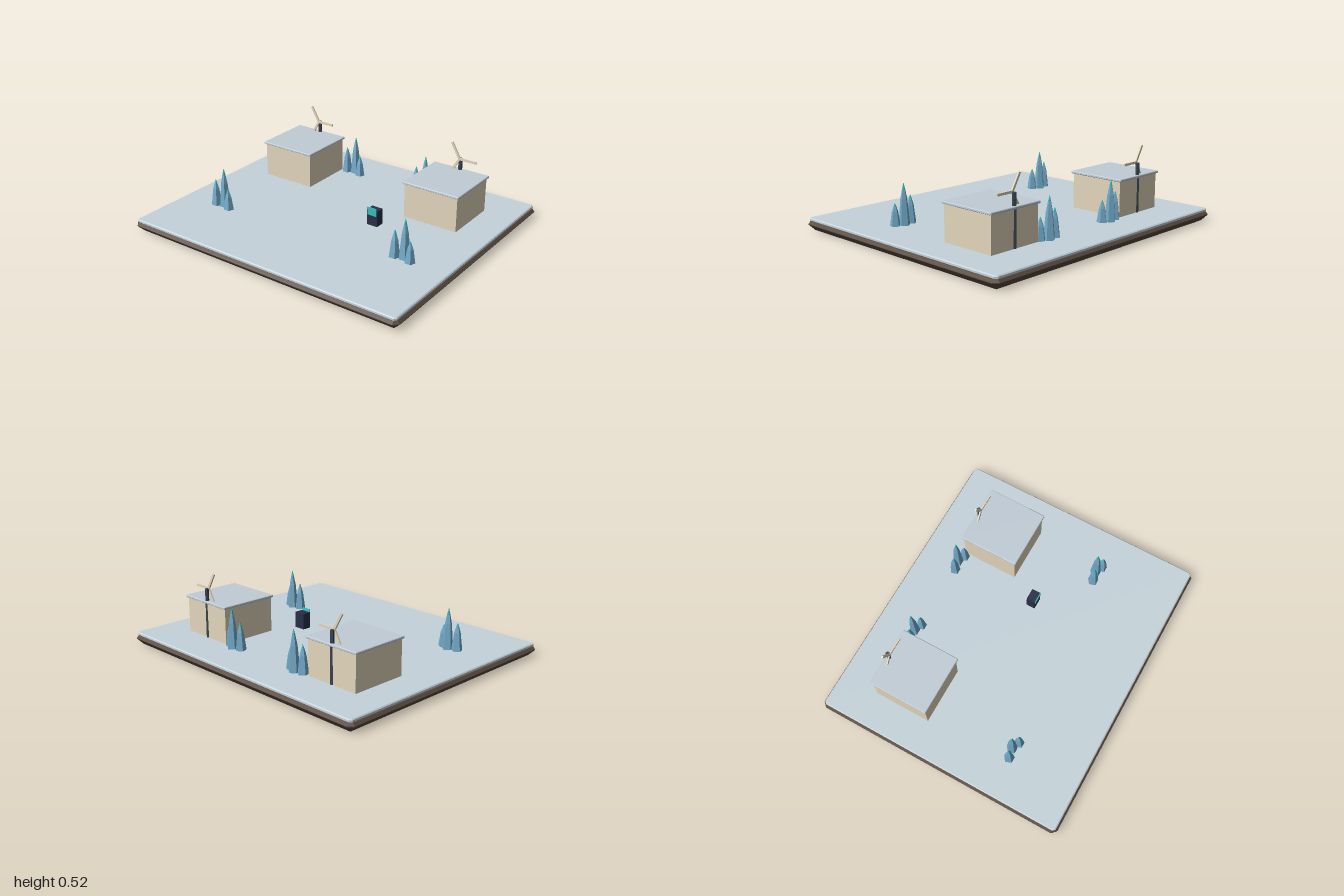
import * as THREE from 'three';

const mat = (color) => new THREE.MeshStandardMaterial({ color, flatShading: true });
const M = {
  soil: mat(0x5a4a3e), ground: mat(0xc5d3da), wall: mat(0xe3d6bc), roof: mat(0xc0ccd6),
  pole: mat(0x3a4650), kiosk: mat(0x2a2e48), screen: mat(0x38c4c4),
  crystal: mat(0x74acca), tip: mat(0x38bcbc),
};
const GROUND = 0.083;

function add(parent, name, geometry, material, x = 0, y = 0, z = 0) {
  const mesh = new THREE.Mesh(geometry, material);
  mesh.name = name;
  mesh.position.set(x, y, z);
  parent.add(mesh);
  return mesh;
}

// Slab lofted through rings of [y, halfX, halfZ, cornerCut]
function slab(rings) {
  const pos = [], idx = [];
  for (const [y, a, b, c] of rings) {
    for (const [x, z] of [[a, b - c], [a, c - b], [a - c, -b], [c - a, -b],
      [-a, c - b], [-a, b - c], [c - a, b], [a - c, b]]) pos.push(x, y, z);
  }
  for (let r = 0; r < rings.length - 1; r++) {
    for (let i = 0; i < 8; i++) {
      const p = r * 8 + i, q = r * 8 + (i + 1) % 8;
      idx.push(p, q, q + 8, p, q + 8, p + 8);
    }
  }
  const top = (rings.length - 1) * 8;
  for (let i = 1; i < 7; i++) idx.push(0, i + 1, i, top, top + i, top + i + 1);
  const g = new THREE.BufferGeometry();
  g.setAttribute('position', new THREE.Float32BufferAttribute(pos, 3));
  g.setIndex(idx);
  const flat = g.toNonIndexed();
  flat.computeVertexNormals();
  return flat;
}

// Flat-roofed hut with a three-bladed wind turbine at its back wall
function hut(x, z) {
  const g = new THREE.Group();
  g.name = 'hut';
  g.position.set(x, GROUND, z);
  add(g, 'walls', new THREE.BoxGeometry(0.38, 0.23, 0.38), M.wall, 0, 0.115, 0);
  add(g, 'roof', slab([[0, 0.196, 0.196, 0.003], [0.004, 0.202, 0.202, 0.004],
    [0.014, 0.202, 0.202, 0.004], [0.018, 0.198, 0.198, 0.003]]), M.roof, 0, 0.23, 0);
  add(g, 'turbinePole', new THREE.CylinderGeometry(0.013, 0.015, 0.326, 6), M.pole, 0, 0.163, -0.182);
  const rotor = new THREE.Group();
  rotor.name = 'rotor';
  rotor.position.set(0, 0.326, -0.167);
  for (let i = 0; i < 3; i++) {
    const blade = new THREE.BoxGeometry(0.12, 0.015, 0.01).translate(0.06, 0, 0);
    add(rotor, 'blade', blade, M.wall).rotation.z = i * Math.PI * 2 / 3;
  }
  g.add(rotor);
  return g;
}

// Three five-sided crystals: [dx, dz, height, radius]
function crystalCluster(x, z) {
  const g = new THREE.Group();
  g.name = 'crystalCluster';
  g.position.set(x, GROUND, z);
  for (const [dx, dz, h, r] of [[0, 0, 0.268, 0.037], [-0.062, 0.014, 0.182, 0.036], [0.052, 0.024, 0.144, 0.034]]) {
    const piece = (name, m, r0, r1, y0, y1) => {
      const geo = new THREE.CylinderGeometry(r1 * r, r0 * r, (y1 - y0) * h, 5);
      add(g, name, geo, m, dx, (y0 + y1) / 2 * h, dz).rotation.y = Math.PI;
    };
    piece('crystalBody', M.crystal, 1, 0.6, 0, 0.62);
    piece('crystalShoulder', M.crystal, 0.6, 0.28, 0.62, 0.84);
    piece('crystalTip', M.tip, 0.28, 0, 0.84, 1);
  }
  return g;
}

export function createModel() {
  const model = new THREE.Group();
  model.name = 'outpost';

  // Bevelled base and ground plate
  add(model, 'base', slab([[0, 0.957, 0.815, 0], [0.042, 1, 0.855, 0.03], [0.046, 1, 0.855, 0.03],
    [0.062, 0.985, 0.84, 0.015]]), M.soil);
  add(model, 'groundPlate', slab([[0.06, 0.978, 0.836, 0.01], [0.066, 0.985, 0.843, 0.015],
    [0.077, 0.985, 0.843, 0.015], [GROUND, 0.979, 0.836, 0.01]]), M.ground);

  model.add(hut(-0.573, -0.385), hut(0.568, -0.385));

  // Kiosk with a raised front screen
  const kiosk = new THREE.Group();
  kiosk.name = 'kiosk';
  kiosk.position.set(0.284, GROUND, 0);
  add(kiosk, 'cabinet', new THREE.BoxGeometry(0.078, 0.106, 0.06), M.kiosk, 0, 0.053, 0.002);
  add(kiosk, 'screen', new THREE.BoxGeometry(0.066, 0.054, 0.006), M.screen, 0, 0.098, 0.034).rotation.x = 0.08;
  model.add(kiosk);

  for (const [x, z] of [[-0.658, 0.362], [0.675, 0.267], [-0.275, -0.588], [0.295, -0.588]]) {
    model.add(crystalCluster(x, z));
  }
  return model;
}
